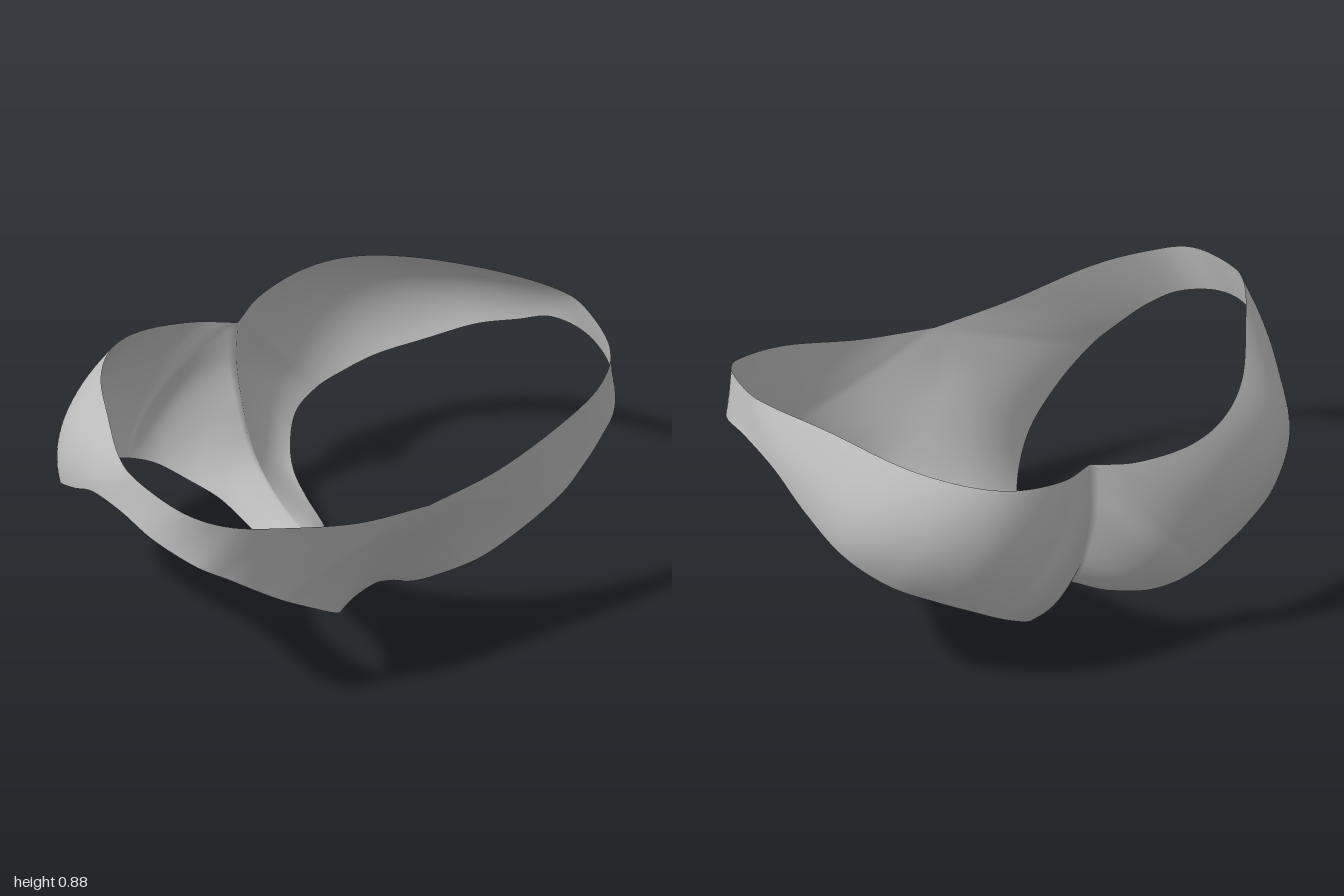
import * as THREE from 'three';
import { mergeVertices } from 'three/addons/utils/BufferGeometryUtils.js';

// All curves run in matching stations around one leg opening:
// front centre -> waist side -> back centre -> crotch -> front centre.
const waist = [
  [0, .64, .685], [.3, .675, .68], [.6, .75, .65], [.8, .795, .585], [.92, .84, .47],
  [.965, .87, .25], [.94, .88, .1], [.83, .87, -.13], [.68, .83, -.4], [.52, .8, -.57],
  [.35, .77, -.64], [.15, .743, -.62], [0, .73, -.54],
];
const centreLine = [
  [0, .73, -.54], [0, .55, -.545], [0, .4, -.51], [0, .255, -.457], [0, .16, -.365],
  [0, .085, -.2], [0, .055, .03], [0, .05, .2], [0, .09, .317], [0, .18, .41],
  [0, .38, .54], [0, .51, .624], [0, .64, .685],
];
const legEdge = [
  [.6, .43, .635], [.7, .5, .62], [.8, .57, .59], [.9, .63, .53], [.98, .69, .38],
  [1, .72, .2], [.985, .685, 0], [.95, .59, -.17], [.89, .49, -.35], [.77, .4, -.48],
  [.62, .34, -.57], [.5, .29, -.61], [.4, .245, -.63], [.3, .195, -.61], [.22, .14, -.53],
  [.16, .1, -.42], [.135, .06, -.3], [.12, .03, -.18], [.075, 0, .03], [.1, .02, .2],
  [.15, .05, .33], [.22, .13, .45], [.32, .22, .55], [.46, .33, .61],
];
// How far the cloth swells away from a straight span at each station
const swell = [
  [0, 0, -.012], [0, 0, 0], [0, 0, 0], [0, 0, 0], [0, 0, 0],
  [0, 0, 0], [.012, 0, 0], [.03, 0, -.02], [.045, 0, -.045], [.045, 0, -.055],
  [.035, -.01, -.065], [.03, -.02, -.075], [.03, -.02, -.085], [.03, 0, -.08], [.02, -.02, -.06],
  [.01, -.02, -.03], [0, -.005, -.01], [0, .005, 0], [.01, .015, 0], [.01, .012, 0],
  [0, .005, -.005], [0, 0, -.018], [0, 0, -.03], [0, 0, -.028],
];

const curve = (points, closed) => new THREE.CatmullRomCurve3(
  points.map(p => new THREE.Vector3(...p)), closed, 'catmullrom', 0.5);

function buildCloth() {
  const top = curve(waist, false), middle = curve(centreLine, false);
  const leg = curve(legEdge, true), bulge = curve(swell, true);
  const around = 240, across = 20;
  const positions = [], index = [];

  // Each half is a ring between the leg edge and the waist/centre line
  for (const side of [1, -1]) {
    const start = positions.length / 3;
    for (let i = 0; i <= around; i++) {
      const t = i / around;
      const outer = t <= 0.5 ? top.getPoint(t * 2) : middle.getPoint(t * 2 - 1);
      const inner = leg.getPoint(t % 1), b = bulge.getPoint(t % 1);
      for (let j = 0; j <= across; j++) {
        const s = j / across;
        const p = outer.clone().lerp(inner, s).addScaledVector(b, 4 * s * (1 - s));
        positions.push(side * p.x, Math.max(p.y, 0), p.z);
      }
    }
    for (let i = 0; i < around; i++) {
      for (let j = 0; j < across; j++) {
        const a = start + i * (across + 1) + j, d = a + across + 1;
        if (side > 0) index.push(a, a + 1, d, a + 1, d + 1, d);
        else index.push(a, d, a + 1, a + 1, d, d + 1);
      }
    }
  }
  const geometry = new THREE.BufferGeometry();
  geometry.setAttribute('position', new THREE.Float32BufferAttribute(positions, 3));
  geometry.setIndex(index);
  // Weld the centre seam so shading runs smoothly across it
  const welded = mergeVertices(geometry, 1e-5);
  welded.computeVertexNormals();
  return welded;
}

export function createModel() {
  const group = new THREE.Group();
  group.name = 'briefs';
  const greyCloth = new THREE.MeshStandardMaterial({ color: 0xbcbcbc, side: THREE.DoubleSide });
  greyCloth.name = 'greyCloth';
  const cloth = new THREE.Mesh(buildCloth(), greyCloth);
  cloth.name = 'cloth';
  group.add(cloth);
  return group;
}
